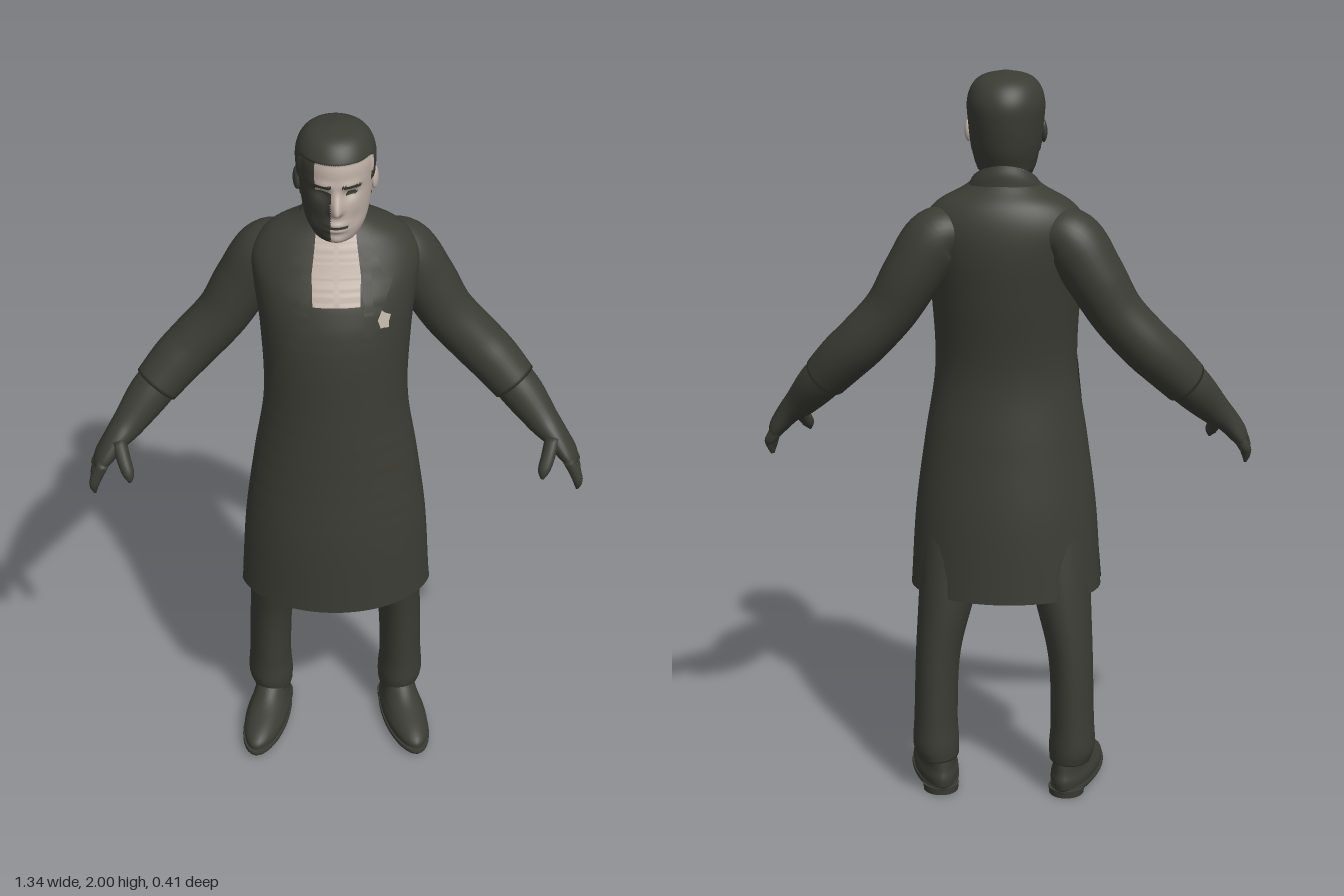
import * as THREE from 'three';

const mat = (name, color, side = THREE.DoubleSide) => {
  const m = new THREE.MeshStandardMaterial({ color, side });
  m.name = name;
  return m;
};
const V3 = (x, y, z) => new THREE.Vector3(x, y, z);

// Smoothly resample sections [x, y, z, a, b]
function resample(sections, steps) {
  const spline = f => new THREE.CatmullRomCurve3(sections.map(f), false, 'catmullrom', 0.5);
  const path = spline(s => V3(s[0], s[1], s[2]));
  const size = spline(s => V3(s[3], s[4], 0));
  return Array.from({ length: steps + 1 }, (_, i) => {
    const t = i / steps, r = size.getPoint(t);
    return { c: path.getPoint(t), T: path.getTangent(t), a: Math.max(r.x, 0.001), b: Math.max(r.y, 0.001) };
  });
}

// Skin elliptical rings; flat keeps every ring horizontal (sections then go upward)
function loft(sections, { steps = 24, n = 28, flat = false, cap = true } = {}) {
  const pos = [], idx = [];
  const rings = resample(sections, steps);
  for (const { c, T, a, b } of rings) {
    const t = flat ? V3(0, 1, 0) : T;
    const v = V3(0, 0, 1).addScaledVector(t, -t.z).normalize();
    const u = t.clone().cross(v);
    for (let j = 0; j < n; j++) {
      const w = j / n * Math.PI * 2;
      const p = c.clone().addScaledVector(u, a * Math.cos(w)).addScaledVector(v, b * Math.sin(w));
      pos.push(p.x, p.y, p.z);
    }
  }
  for (let i = 0; i < steps; i++) for (let j = 0; j < n; j++) {
    const k = (j + 1) % n, A = i * n + j, B = i * n + k;
    idx.push(A, A + n, B, B, A + n, B + n);
  }
  if (cap) {
    const s = pos.length / 3, e = s + 1, L = steps * n;
    pos.push(...rings[0].c.toArray(), ...rings[steps].c.toArray());
    for (let j = 0; j < n; j++) {
      const k = (j + 1) % n;
      idx.push(s, j, k, e, L + k, L + j);
    }
  }
  return geometry(pos, idx);
}

function geometry(pos, idx) {
  const g = new THREE.BufferGeometry();
  g.setAttribute('position', new THREE.Float32BufferAttribute(pos, 3));
  g.setIndex(idx);
  g.computeVertexNormals();
  return g;
}

// Move every vertex by a rule
function deform(g, rule) {
  const p = g.attributes.position, v = V3();
  for (let i = 0; i < p.count; i++) {
    v.fromBufferAttribute(p, i);
    rule(v);
    p.setXYZ(i, v.x, v.y, v.z);
  }
  g.computeVertexNormals();
  return g;
}

const COAT = [
  [0, 0.58, 0, 0.262, 0.2], [0, 0.8, 0.005, 0.248, 0.195], [0, 1.0, 0.01, 0.222, 0.178],
  [0, 1.2, 0.014, 0.193, 0.164], [0, 1.4, -0.006, 0.2, 0.172], [0, 1.52, -0.03, 0.215, 0.162],
  [0, 1.6, -0.052, 0.22, 0.137], [0, 1.66, -0.06, 0.18, 0.11], [0, 1.7, -0.055, 0.11, 0.08],
  [0, 1.73, -0.045, 0.07, 0.06],
];
const coatRings = resample(COAT, 200);

// Cloth lying on the coat front; bounds are rows [y, x from, x to], upward
function patch(bounds, off, rows = 40, cols = 24) {
  const pos = [], idx = [], y0 = bounds[0][0], y1 = bounds[bounds.length - 1][0];
  for (let i = 0; i <= rows; i++) {
    const y = y0 + (y1 - y0) * i / rows;
    let k = 0;
    while (k < bounds.length - 2 && y > bounds[k + 1][0]) k++;
    const [p, q] = [bounds[k], bounds[k + 1]], f = (y - p[0]) / (q[0] - p[0]);
    const r = coatRings.find(s => s.c.y >= y - 1e-6) ?? coatRings[200];
    const angle = m => Math.acos(THREE.MathUtils.clamp((p[m] + (q[m] - p[m]) * f) / r.a, -1, 1));
    const w0 = angle(1), w1 = angle(2);
    for (let j = 0; j <= cols; j++) {
      const w = w0 + (w1 - w0) * j / cols;
      pos.push((r.a + off) * Math.cos(w), y, r.c.z + (r.b + off) * Math.sin(w));
    }
  }
  for (let i = 0; i < rows; i++) for (let j = 0; j < cols; j++) {
    const A = i * (cols + 1) + j, B = A + cols + 1;
    idx.push(A, A + 1, B, A + 1, B + 1, B);
  }
  return geometry(pos, idx);
}

const bell = (d, w) => Math.exp(-((d / w) ** 2));

// Hairline: low at the temples and sideburns, high at the forehead
const isHair = p => p.y > 1.935 - 0.25 * p.x * p.x || p.z < (p.y > 1.86 ? 0.045 : p.y > 1.79 ? 0.0 : -0.02);
function isLight(p) {
  if (p.y < 1.705) return p.x > 0.005 && p.z > -0.05;
  if (isHair(p) || p.x < (p.y > 1.86 ? -0.055 : -0.015)) return false;
  const ex = Math.abs(p.x) - 0.038;
  const brow = Math.abs(ex) < 0.024 && Math.abs(p.y - 1.874 + ex * 0.1) < 0.005;
  const eye = (ex / 0.016) ** 2 + ((p.y - 1.853) / 0.006) ** 2 < 1;
  const mouth = Math.abs(p.x) < 0.03 && Math.abs(p.y - 1.762) < 0.003;
  return !(p.z > 0.04 && (brow || eye || mouth));
}

function headGeometry() {
  const g = deform(loft([
    [0, 1.6, -0.03, 0.065, 0.06], [0, 1.685, -0.028, 0.06, 0.062], [0, 1.71, 0.01, 0.062, 0.093],
    [0, 1.75, 0.016, 0.079, 0.106], [0, 1.8, 0.007, 0.089, 0.115], [0, 1.87, -0.001, 0.096, 0.12],
    [0, 1.92, -0.003, 0.098, 0.119], [0, 1.96, -0.003, 0.086, 0.1], [0, 1.985, -0.001, 0.06, 0.068],
    [0, 1.998, 0, 0.01, 0.012],
  ], { steps: 110, n: 110, flat: true }), p => {
    if (isHair(p) && p.y > 1.74) {
      p.x *= 1.05; p.z *= 1.03;
    } else if (p.z > 0.03 && p.y > 1.7) {
      const x = Math.abs(p.x), dy = p.y - 1.812;
      p.z += 0.034 * bell(p.x, 0.014) * bell(dy, dy > 0 ? 0.036 : 0.012)
        - 0.013 * bell(x - 0.036, 0.019) * bell(p.y - 1.852, 0.015)
        + 0.006 * bell(x - 0.035, 0.03) * bell(p.y - 1.878, 0.011)
        + 0.006 * bell(x, 0.026) * (bell(p.y - 1.77, 0.007) + bell(p.y - 1.753, 0.007))
        + 0.008 * bell(x, 0.025) * bell(p.y - 1.722, 0.014)
        - 0.006 * bell(x - 0.05, 0.02) * bell(p.y - 1.775, 0.025);
    }
  });
  // Sort faces into dark and light groups
  const sets = [[], []], ix = g.index.array, pa = g.attributes.position, c = V3(), v = V3();
  for (let i = 0; i < ix.length; i += 3) {
    c.set(0, 0, 0);
    for (let k = 0; k < 3; k++) c.add(v.fromBufferAttribute(pa, ix[i + k]));
    sets[isLight(c.divideScalar(3)) ? 1 : 0].push(ix[i], ix[i + 1], ix[i + 2]);
  }
  g.setIndex([...sets[0], ...sets[1]]);
  g.addGroup(0, sets[0].length, 0);
  g.addGroup(sets[0].length, sets[1].length, 1);
  return g;
}

export function createModel() {
  const model = new THREE.Group();
  const dark = mat('dark olive', 0x3b3c34), light = mat('pale skin and linen', 0xbcaea4);
  const add = (name, g, m = dark) => {
    const mesh = new THREE.Mesh(g, m);
    mesh.name = name;
    model.add(mesh);
    return mesh;
  };

  // Head and neck
  add('head', headGeometry(), [dark, light]);

  // Coat, apron and shirt front
  add('coat', loft(COAT, { steps: 70, n: 64, flat: true, cap: false }));
  add('apron', patch([[0.58, -0.255, 0.255], [0.8, -0.235, 0.235], [1.0, -0.205, 0.205], [1.2, -0.185, 0.185],
    [1.3, -0.165, 0.165], [1.42, -0.125, 0.125], [1.53, -0.09, 0.09]], 0.008, 60, 40));
  add('shirtFront', patch([[1.51, -0.06, 0.06], [1.6, -0.062, 0.062], [1.69, -0.05, 0.05]], 0.005), light);
  add('shirtPlacket', patch([[1.52, -0.008, 0.008], [1.67, -0.006, 0.006]], 0.008, 10, 3), light);
  const collar = (y, a, b, slope) => deform(loft(
    [[0, y, -0.03, a, b], [0, y + 0.03, -0.033, a * 0.92, b * 0.95], [0, y + 0.06, -0.035, a * 0.78, b * 0.85]],
    { steps: 10, n: 40, flat: true, cap: false }), p => { p.y -= (p.z + 0.03) * slope; });
  add('coatCollar', collar(1.645, 0.115, 0.095, 0.7));
  add('shirtCollar', collar(1.665, 0.09, 0.082, 0.5), light);

  // Pocket badge
  const badge = new THREE.Shape();
  for (let i = 0; i < 10; i++) {
    const w = i / 10 * Math.PI * 2, r = i % 2 ? 0.021 : 0.029;
    badge[i ? 'lineTo' : 'moveTo'](r * Math.sin(w), r * Math.cos(w));
  }
  const tag = add('badge', new THREE.ExtrudeGeometry(badge, { depth: 0.006, bevelEnabled: false }), light);
  tag.position.set(0.115, 1.485, 0.118);
  tag.rotation.set(-0.28, 0.45, 0, 'YXZ');

  for (const s of [1, -1]) {
    const side = s > 0 ? 'left' : 'right';
    const limb = (name, rows, opt, m) => add(side + name, loft(rows.map(r => [r[0] * s, ...r.slice(1)]), opt), m);
    const strip = rows => rows.map(([y, a, b]) => s > 0 ? [y, a, b] : [y, -b, -a]);

    // Lapel and apron strap
    add(side + 'Lapel', patch(strip([[1.45, 0.07, 0.085], [1.58, 0.064, 0.14], [1.6, 0.062, 0.115], [1.69, 0.05, 0.085]]), 0.01, 24, 8));
    add(side + 'ApronStrap', patch(strip([[1.51, 0.066, 0.09], [1.68, 0.06, 0.08]]), 0.015, 16, 4));

    // Ear
    const ear = add(side + 'Ear', new THREE.SphereGeometry(1, 16, 12), s > 0 ? light : dark);
    ear.scale.set(0.01, 0.031, 0.018);
    ear.position.set(s * 0.099, 1.84, -0.002);
    ear.rotation.set(-0.2, s * -0.25, 0);

    // Sleeve, gloved forearm and hand
    limb('Sleeve', [[0.1, 1.59, -0.095, 0.05, 0.06], [0.175, 1.57, -0.1, 0.082, 0.085], [0.24, 1.475, -0.105, 0.08, 0.085],
      [0.3, 1.375, -0.1, 0.073, 0.078], [0.375, 1.29, -0.092, 0.072, 0.076], [0.43, 1.235, -0.075, 0.07, 0.073],
      [0.485, 1.175, -0.05, 0.064, 0.067]], { steps: 48, n: 32 });
    limb('Glove', [[0.43, 1.235, -0.075, 0.055, 0.06], [0.5, 1.16, -0.038, 0.058, 0.06], [0.56, 1.09, 0.005, 0.045, 0.048],
      [0.595, 1.055, 0.03, 0.034, 0.05], [0.63, 1.01, 0.05, 0.026, 0.056], [0.643, 0.985, 0.057, 0.018, 0.05]], { steps: 30 });
    limb('Thumb', [[0.585, 1.06, 0.06, 0.02, 0.026], [0.572, 1.025, 0.095, 0.019, 0.022],
      [0.56, 0.995, 0.118, 0.016, 0.018], [0.556, 0.975, 0.128, 0.004, 0.005]], { steps: 12, n: 12 });
    for (let f = 0; f < 4; f++) {
      const z = 0.012 + f * 0.029, tip = 0.915 + [0.025, 0.008, 0, 0.012][f];
      limb('Finger' + (f + 1), [[0.628, 1.015, z, 0.016, 0.016], [0.647, 0.98, z + 0.004, 0.016, 0.015],
        [0.656, tip + 0.025, z + 0.008, 0.013, 0.013], [0.654, tip, z + 0.008, 0.003, 0.003]], { steps: 12, n: 12 });
    }

    // Trouser leg
    limb('Trouser', [[0.185, 0.1, -0.092, 0.058, 0.082], [0.19, 0.14, -0.09, 0.064, 0.09], [0.19, 0.22, -0.088, 0.06, 0.089],
      [0.183, 0.4, -0.078, 0.062, 0.096], [0.157, 0.58, -0.053, 0.08, 0.113], [0.13, 0.8, -0.02, 0.1, 0.12]],
      { steps: 40, n: 32, flat: true });

    // Shoe with separate sole and heel
    const shoe = [
      ['Shoe', [[0, 0.02, 0, 0.058, 0.165], [0, 0.045, -0.003, 0.06, 0.165], [0, 0.068, -0.02, 0.052, 0.142],
        [0, 0.095, -0.06, 0.046, 0.098], [0, 0.14, -0.09, 0.045, 0.062]]],
      ['Sole', [[0, 0.008, 0.005, 0.058, 0.164], [0, 0.016, 0.005, 0.063, 0.17], [0, 0.026, 0.005, 0.062, 0.169]]],
      ['Heel', [[0, 0, -0.11, 0.048, 0.052], [0, 0.02, -0.11, 0.05, 0.054]]],
    ];
    for (const [name, rows] of shoe) {
      const m = add(side + name, loft(rows, { steps: 16, n: 36, flat: true }));
      m.position.set(s * 0.2, 0, -0.003);
      m.rotation.y = s * 0.22;
    }
  }
  return model;
}
